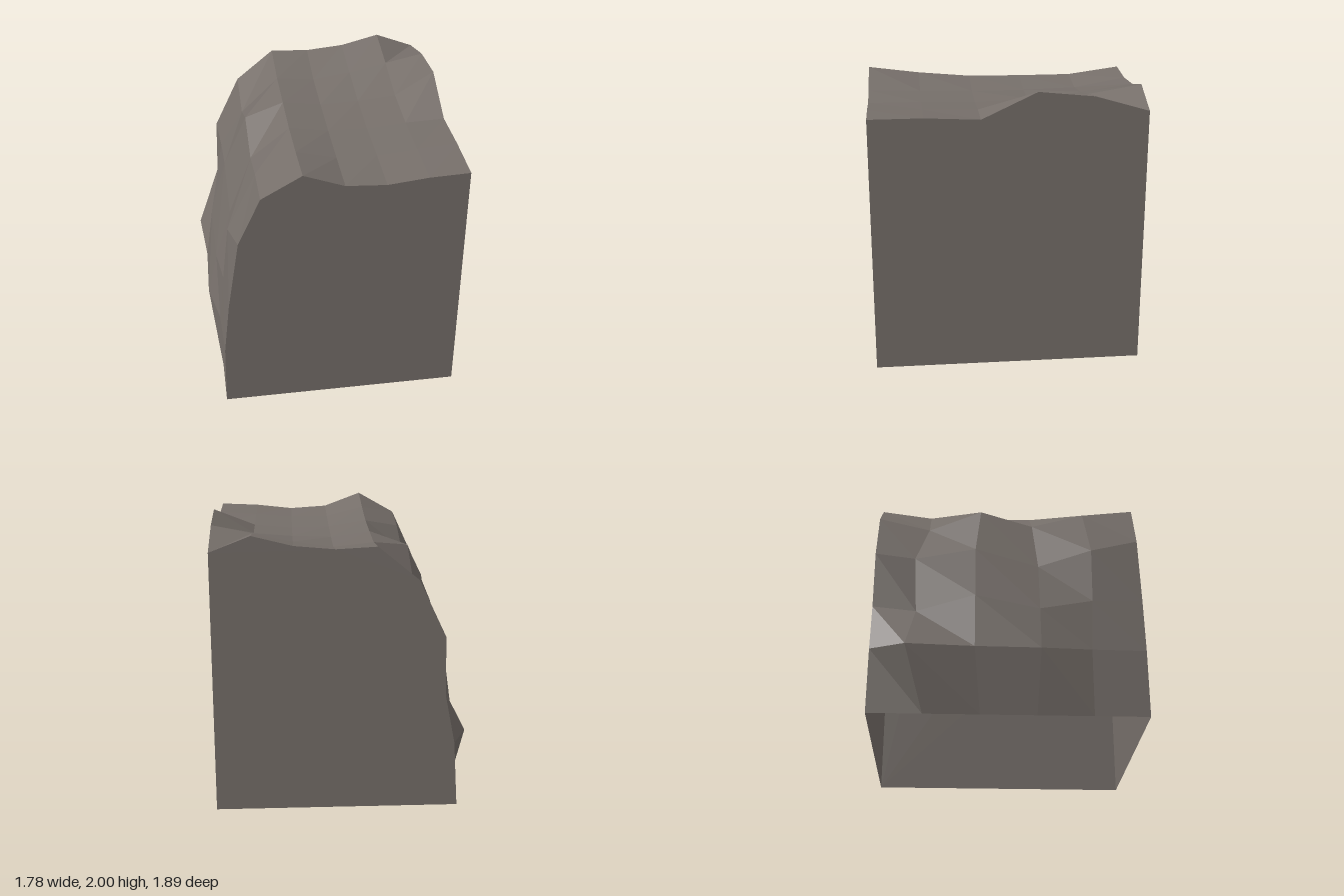
import * as THREE from 'three';

// Low-poly cliff block: rocky top bending over into a cliff on the -x side,
// flat cut walls on the other sides, open underneath.
const Z = [-0.943, -0.57, -0.19, 0.19, 0.57, 0.943];

// Top rows: x, then the height at each z station
const TOP = [
  [0.89, 1.85, 1.96, 2.0, 1.82, 1.84, 1.84],
  [0.61, 1.96, 1.9, 1.825, 1.81, 1.82, 1.828],
  [0.33, 1.89, 1.84, 1.8, 1.785, 1.795, 1.797],
  [0.05, 1.865, 1.8, 1.79, 1.79, 1.8, 1.815],
  [-0.23, 1.88, 1.83, 1.83, 1.835, 1.87, 1.92],
  [-0.51, 1.65, 1.56, 1.727, 1.61, 1.717, 1.76],
];

// Cliff rows: [x, y, z] at each z station
const CLIFF = [
  [[-0.7, 1.25, Z[0]], [-0.68, 1.225, -0.66], [-0.68, 1.315, -0.23], [-0.68, 1.18, 0.22], [-0.72, 1.3, 0.6], [-0.67, 1.41, Z[5]]],
  [[-0.71, 0.825, Z[0]], [-0.73, 0.785, -0.64], [-0.8, 0.885, -0.23], [-0.8, 0.79, 0.22], [-0.77, 0.87, 0.59], [-0.755, 0.88, Z[5]]],
  [[-0.78, 0.473, Z[0]], [-0.89, 0.47, -0.7], [-0.86, 0.47, -0.23], [-0.875, 0.46, 0.22], [-0.81, 0.48, 0.57], [-0.8, 0.48, Z[5]]],
  Z.map((z) => [-0.81, 0, z]),
];

// Skin a grid of points with flat-shaded quads
function skin(grid) {
  const pos = [];
  for (let i = 0; i < grid.length - 1; i++) {
    for (let j = 0; j < grid[i].length - 1; j++) {
      const a = grid[i][j], b = grid[i][j + 1];
      const c = grid[i + 1][j + 1], d = grid[i + 1][j];
      pos.push(...a, ...c, ...b, ...a, ...d, ...c);
    }
  }
  const geo = new THREE.BufferGeometry();
  geo.setAttribute('position', new THREE.Float32BufferAttribute(pos, 3));
  geo.computeVertexNormals();
  return geo;
}

// Flat wall filled from an outline of [u, y] points
const wall = (points) =>
  new THREE.ShapeGeometry(new THREE.Shape(points.map(([u, y]) => new THREE.Vector2(u, y))));

export function createModel() {
  const group = new THREE.Group();
  group.name = 'cliffBlock';
  const rock = new THREE.MeshStandardMaterial({ color: 0x766f6a, side: THREE.DoubleSide });
  rock.name = 'rock';

  const add = (name, geo) => {
    const mesh = new THREE.Mesh(geo, rock);
    mesh.name = name;
    group.add(mesh);
    return mesh;
  };

  const top = TOP.map(([x, ...ys]) => ys.map((y, j) => [x, y, Z[j]]));
  const grid = [...top, ...CLIFF];

  // Rock surfaces
  add('rockTop', skin(top));
  add('cliffFace', skin([top[5], ...CLIFF]));

  // Cut walls follow the edges of the rock surface
  const front = add('frontWall', wall([[0.89, 0], ...grid.map((r) => [r[5][0], r[5][1]])]));
  front.position.z = Z[5];

  const back = add('backWall', wall([[-0.89, 0], ...grid.map((r) => [-r[0][0], r[0][1]])]));
  back.rotation.y = Math.PI;
  back.position.z = Z[0];

  const side = add('sideWall', wall([[-Z[0], 0], ...top[0].map((p) => [-p[2], p[1]]), [-Z[5], 0]]));
  side.rotation.y = Math.PI / 2;
  side.position.x = 0.89;

  return group;
}
